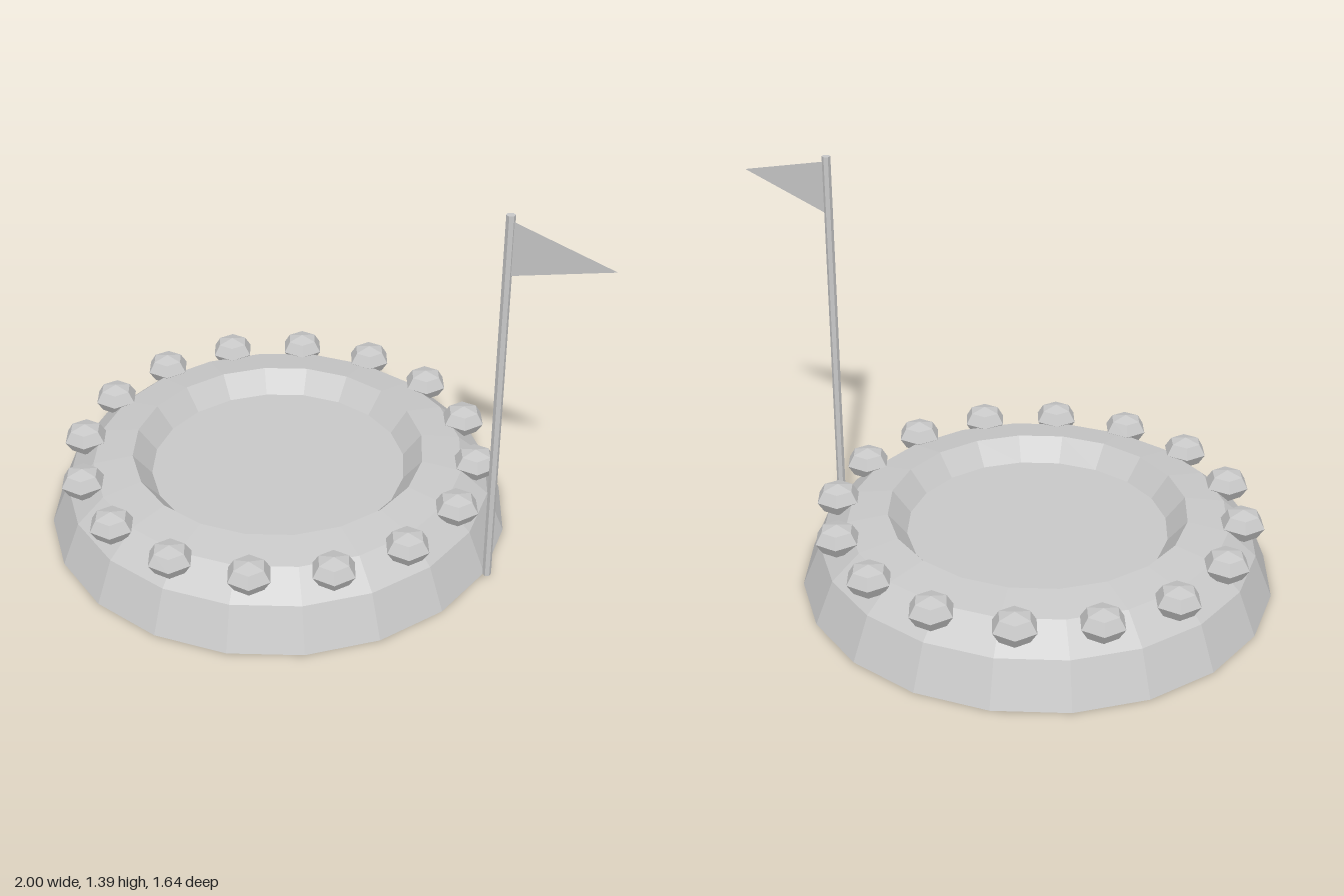
import * as THREE from 'three';

export function createModel() {
  const model = new THREE.Group();
  const grey = new THREE.MeshStandardMaterial({ color: 0xc8c8c8, flatShading: true });
  grey.name = 'stone grey';
  const cloth = new THREE.MeshStandardMaterial({ color: 0xc8c8c8, flatShading: true, side: THREE.DoubleSide });
  cloth.name = 'flag grey';
  const centreX = -0.18;

  const add = (name, geometry, material, x, y, z, parent = model) => {
    const mesh = new THREE.Mesh(geometry, material);
    mesh.name = name;
    mesh.position.set(x, y, z);
    parent.add(mesh);
    return mesh;
  };

  // Round mound with a sunken floor: underside, outer slope, rim, inner wall, floor
  const profile = [
    [0, 0], [0.82, 0], [0.757, 0.153], [0.66, 0.238],
    [0.52, 0.26], [0.455, 0.18], [0, 0.18],
  ].map(([r, y]) => new THREE.Vector2(r, y));
  add('basin', new THREE.LatheGeometry(profile, 20), grey, centreX, 0, 0);

  // Ring of flattened stones around the rim
  const stones = new THREE.Group();
  stones.name = 'rimStones';
  model.add(stones);
  const stoneGeometry = new THREE.SphereGeometry(0.08, 6, 4).scale(1, 0.69, 1);
  for (let i = 0; i < 16; i++) {
    const a = (i / 16) * Math.PI * 2;
    add('rimStone', stoneGeometry, grey,
      centreX + Math.cos(a) * 0.705, 0.242, Math.sin(a) * 0.705, stones);
  }

  // Flagpole at the left edge
  add('flagPole', new THREE.CylinderGeometry(0.015, 0.015, 1.39, 6), grey, 0.65, 0.695, 0);

  // Triangular pennant
  const pennant = new THREE.Shape([
    new THREE.Vector2(0, 0.19), new THREE.Vector2(0, 0), new THREE.Vector2(0.345, 0.105),
  ]);
  add('pennant', new THREE.ShapeGeometry(pennant), cloth, 0.655, 1.18, 0);

  return model;
}
